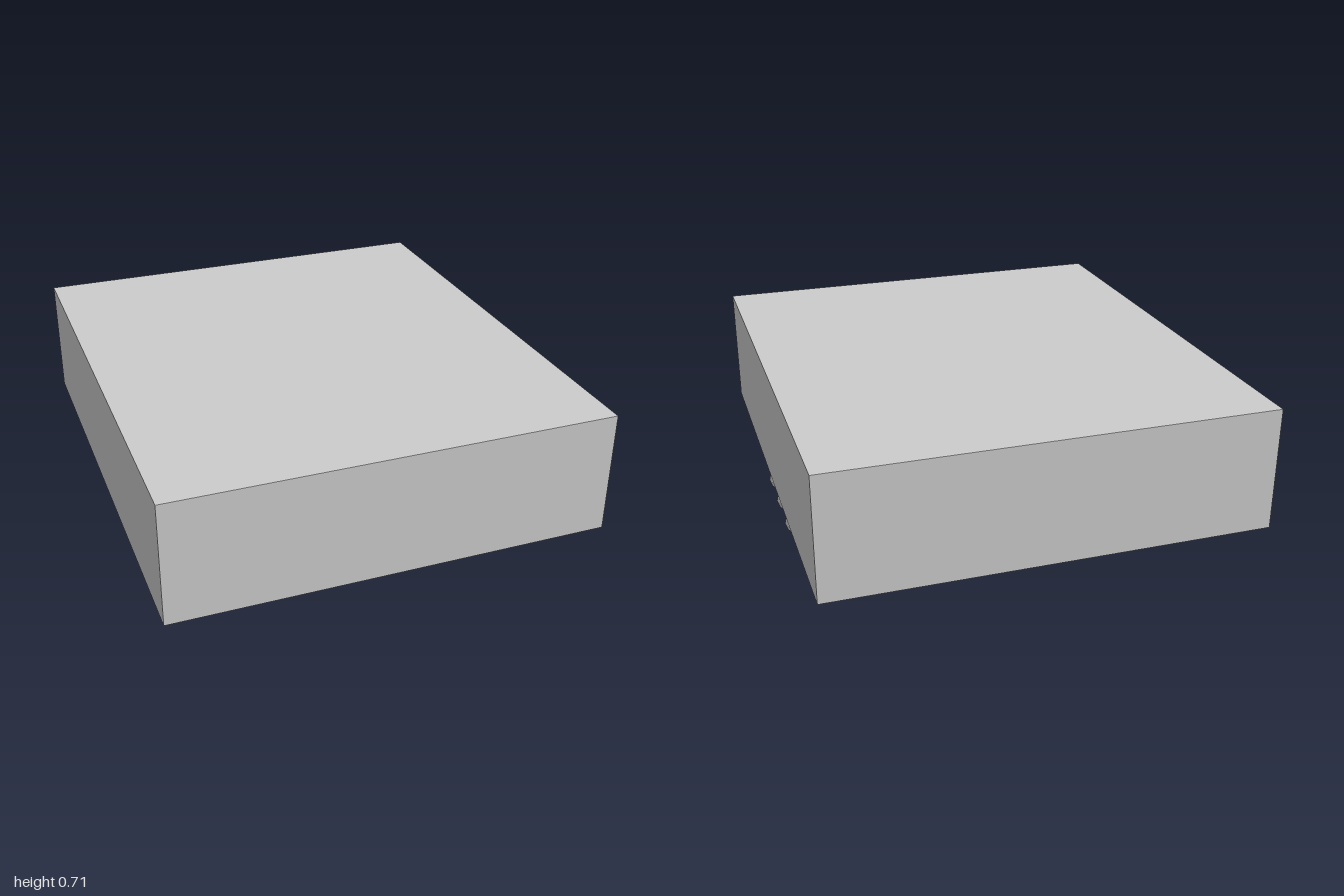
import * as THREE from 'three';

export function createModel() {
  const model = new THREE.Group();
  const material = new THREE.MeshStandardMaterial({ color: 0xcccccc, flatShading: true });

  // Box given by its lower and upper corners
  function addBox(name, [x0, y0, z0], [x1, y1, z1]) {
    const mesh = new THREE.Mesh(new THREE.BoxGeometry(x1 - x0, y1 - y0, z1 - z0), material);
    mesh.position.set((x0 + x1) / 2, (y0 + y1) / 2, (z0 + z1) / 2);
    mesh.name = name;
    model.add(mesh);
  }

  // Main block and the stepped plates hanging below it
  addBox('body', [-0.895, 0.204, -1], [0.895, 0.709, 1]);
  addBox('basePlate', [-0.78, 0.126, -0.596], [0.777, 0.198, 0.834]);
  addBox('largePad', [-0.7, 0.078, 0.203], [0.187, 0.122, 0.666]);
  addBox('smallPad', [0.37, 0.073, 0.28], [0.68, 0.126, 0.596]);

  // Three by three grid of faceted balls
  const balls = new THREE.Group();
  balls.name = 'ballGrid';
  const radius = 0.052;
  const ballGeometry = new THREE.IcosahedronGeometry(radius, 1);
  const pitch = 0.211;
  for (let i = -1; i <= 1; i++) {
    for (let j = -1; j <= 1; j++) {
      const ball = new THREE.Mesh(ballGeometry, material);
      ball.position.set(0.608 + i * pitch, radius, 0.098 + j * pitch);
      ball.name = 'ball';
      balls.add(ball);
    }
  }
  model.add(balls);

  return model;
}
